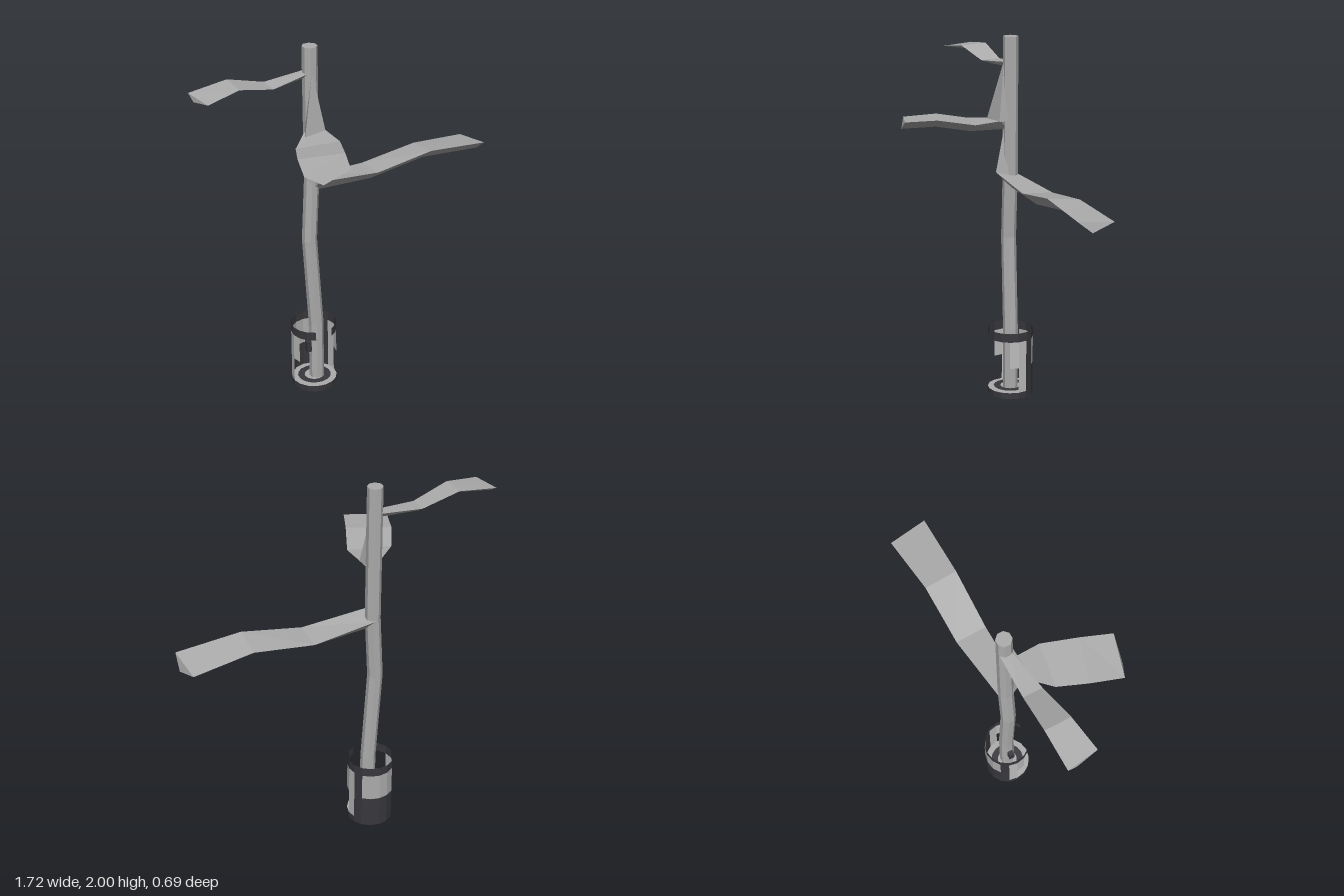
import * as THREE from 'three';

const gray = new THREE.MeshStandardMaterial({ color: 0xacacac, side: THREE.DoubleSide, flatShading: true });
gray.name = 'barkGray';
const dark = new THREE.MeshStandardMaterial({ color: 0x38383d, side: THREE.DoubleSide, flatShading: true });
dark.name = 'charcoal';
const pale = new THREE.MeshStandardMaterial({ color: 0xbcbcbc, side: THREE.DoubleSide, flatShading: true });
pale.name = 'paleGray';

const STEP = Math.PI / 8; // one side of the sixteen-sided pot
const POT = { x: -0.193, z: -0.225, r: 0.125 };

// Skins a row of closed cross-sections and caps both ends
function loft(rings) {
  const pos = [];
  const tri = (a, b, c) => pos.push(...a, ...b, ...c);
  const n = rings[0].length;
  for (let k = 0; k + 1 < rings.length; k++) {
    const a = rings[k], b = rings[k + 1];
    for (let i = 0; i < n; i++) {
      const j = (i + 1) % n;
      tri(a[i], a[j], b[j]);
      tri(a[i], b[j], b[i]);
    }
  }
  const first = rings[0], last = rings[rings.length - 1];
  for (let i = 1; i + 1 < n; i++) {
    tri(first[0], first[i + 1], first[i]);
    tri(last[0], last[i], last[i + 1]);
  }
  const g = new THREE.BufferGeometry();
  g.setAttribute('position', new THREE.Float32BufferAttribute(pos, 3));
  g.computeVertexNormals();
  return g;
}

export function createModel() {
  const model = new THREE.Group();
  model.name = 'pottedTree';
  const add = (name, geometry, material, parent = model) => {
    const m = new THREE.Mesh(geometry, material);
    m.name = name;
    parent.add(m);
    return m;
  };

  // Trunk: octagonal rings following a gentle bend
  const path = [[-0.18, 0.01], [-0.18, 0.38], [-0.212, 0.9], [-0.193, 1.25], [-0.193, 2]];
  add('trunk', loft(path.map(([x, y]) => Array.from({ length: 8 }, (_, i) => {
    const a = (i + 0.5) * Math.PI / 4;
    return [x + 0.041 * Math.sin(a), y, -0.22 + 0.041 * Math.cos(a)];
  }))), gray);

  // Branches: broad flat-topped blades with a keel underneath
  add('longBranch', loft([ // front edge, keel, back edge
    [[-0.19, 1.265, -0.14], [-0.19, 1.19, -0.21], [-0.19, 1.25, -0.265]],
    [[0.17, 1.235, -0.14], [0.17, 1.17, -0.22], [0.17, 1.225, -0.31]],
    [[0.5, 1.286, -0.135], [0.5, 1.217, -0.22], [0.5, 1.265, -0.315]],
    [[0.85, 1.254, -0.14], [0.857, 1.19, -0.22], [0.83, 1.228, -0.35]],
  ]), gray);
  add('frontBranch', loft([ // left edge, right edge, keel
    [[-0.15, 1.555, -0.15], [-0.25, 1.555, -0.18], [-0.2, 1.5, -0.2]],
    [[-0.145, 1.545, 0], [-0.38, 1.54, 0.06 - 0.1], [-0.27, 1.488, -0.02]],
    [[-0.22, 1.57, 0.185], [-0.45, 1.56, 0.11], [-0.35, 1.51, 0.15]],
    [[-0.28, 1.56, 0.345], [-0.505, 1.545, 0.28], [-0.42, 1.497, 0.32]],
  ]), gray);
  add('topBranch', loft([ // front edge, back edge, keel
    [[-0.19, 1.862, -0.2], [-0.19, 1.862, -0.255], [-0.19, 1.832, -0.23]],
    [[-0.44, 1.837, -0.15], [-0.44, 1.842, -0.255], [-0.44, 1.815, -0.215]],
    [[-0.645, 1.89, -0.112], [-0.645, 1.898, -0.255], [-0.645, 1.868, -0.2]],
    [[-0.835, 1.862, -0.078], [-0.86, 1.872, -0.25], [-0.855, 1.84, -0.2]],
  ]), gray);

  // Tapering collars that run from a branch root up the trunk
  const collar = (name, base, apex) => add(name, loft([base, base.map(() => apex)]), gray);
  collar('longBranchCollar',
    [[-0.2, 1.265, -0.14], [-0.155, 1.25, -0.2], [-0.2, 1.25, -0.26], [-0.225, 1.25, -0.2]], [-0.193, 1.5, -0.182]);
  collar('frontBranchCollar',
    [[-0.28, 1.55, -0.12], [-0.15, 1.55, -0.14], [-0.17, 1.55, -0.24], [-0.22, 1.55, -0.24]], [-0.2, 1.87, -0.184]);

  // Pot
  const pot = new THREE.Group();
  pot.name = 'pot';
  pot.position.set(POT.x, 0, POT.z);
  model.add(pot);

  // Curved wall piece; from and to count pot sides, starting at the front
  const wall = (name, from, to, y0, y1, material) => {
    const g = new THREE.CylinderGeometry(POT.r, POT.r, y1 - y0, to - from, 1, true, from * STEP, (to - from) * STEP);
    add(name, g.translate(0, (y0 + y1) / 2, 0), material, pot);
  };
  const base = new THREE.CylinderGeometry(POT.r, POT.r, 0.035, 16).translate(0, 0.0175, 0);
  add('base', base, [dark, gray, gray], pot);
  add('soilRing', new THREE.RingGeometry(0.055, 0.092, 16).rotateX(-Math.PI / 2).translate(0, 0.038, 0), dark, pot);
  wall('rim', 1, 15, 0.33, 0.38, dark);
  wall('backPanelLower', 6, 10, 0.035, 0.178, dark);
  wall('backPanelUpper', 6, 10, 0.178, 0.33, gray);
  for (const [side, place] of [['left', (a, b) => [a, b]], ['right', (a, b) => [16 - b, 16 - a]]]) {
    wall(side + 'Stripe', ...place(5, 6), 0.035, 0.33, dark);
    wall(side + 'PanelUpper', ...place(3, 5), 0.178, 0.33, pale);
    wall(side + 'PanelLower', ...place(4, 5), 0.035, 0.178, pale);
  }

  // Small knob on the trunk inside the pot
  add('knob', new THREE.BoxGeometry(0.03, 0.065, 0.03).translate(-0.23, 0.235, -0.22), dark);

  return model;
}
